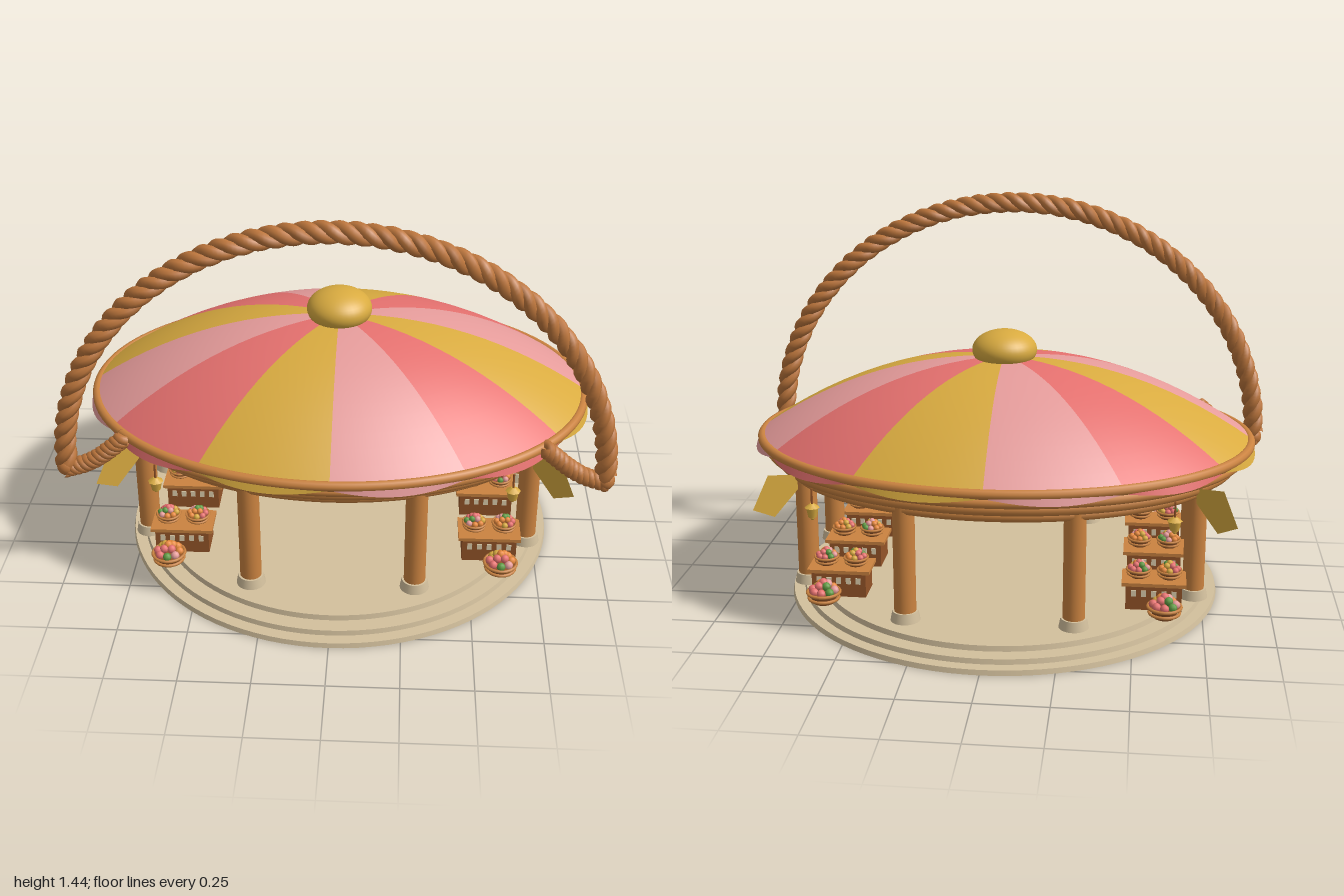
import * as THREE from 'three';
import { ParametricGeometry } from 'three/addons/geometries/ParametricGeometry.js';

const mat = (name, color, side = THREE.FrontSide) => {
  const m = new THREE.MeshStandardMaterial({ color, side });
  m.name = name;
  return m;
};

export function createModel() {
  const M = {
    gold: mat('gold', 0xd9ab40, THREE.DoubleSide),
    red: mat('coral red', 0xe6716f, THREE.DoubleSide),
    pink: mat('pale pink', 0xe69c9b, THREE.DoubleSide),
    wood: mat('honey wood', 0xcb8340),
    rope: mat('rope brown', 0xbd763c),
    stone: mat('stone', 0xd3c09d),
    brown: mat('dark wood', 0x955529),
    orange: mat('orange fruit', 0xe98a3c),
    green: mat('green fruit', 0x5f9a42),
    cream: mat('cream', 0xe3d3b0),
  };
  const model = new THREE.Group();
  const add = (name, geo, material, x = 0, y = 0, z = 0, parent = model) => {
    const mesh = new THREE.Mesh(geo, material);
    mesh.name = name;
    mesh.position.set(x, y, z);
    parent.add(mesh);
    return mesh;
  };
  const V = (x, y, z) => new THREE.Vector3(x, y, z);
  const cyl = (rt, rb, h, n = 24) => new THREE.CylinderGeometry(rt, rb, h, n);

  // Round stepped floor
  [[0.81, 0, 0.018], [0.765, 0.018, 0.036], [0.705, 0.036, 0.055]].forEach(([r, y0, y1]) =>
    add('floorStep', cyl(r - 0.004, r, y1 - y0, 96), M.stone, 0, (y0 + y1) / 2, 0));

  // Columns with stone footings, on an ellipse
  for (let i = 0; i < 8; i++) {
    const t = (i + 0.5) * Math.PI / 4;
    const x = 0.775 * Math.cos(t), z = 0.565 * Math.sin(t);
    add('column', cyl(0.039, 0.039, 0.43), M.wood, x, 0.275, z);
    add('footing', cyl(0.046, 0.053, 0.036), M.stone, x, 0.073, z);
  }

  // Stacked oval beams and the roof rim
  const ring = (name, a, b, y, r) => {
    const pts = [];
    for (let i = 0; i < 48; i++) {
      const t = i / 48 * Math.PI * 2;
      pts.push(V(a * Math.cos(t), y, b * Math.sin(t)));
    }
    add(name, new THREE.TubeGeometry(new THREE.CatmullRomCurve3(pts, true), 120, r, 10, true), M.wood);
  };
  ring('roofRim', 0.912, 0.688, 0.592, 0.018);
  ring('upperBeam', 0.885, 0.655, 0.55, 0.019);
  ring('middleBeam', 0.845, 0.615, 0.515, 0.024);
  ring('lowerBeam', 0.8, 0.58, 0.478, 0.022);

  // Domed canopy in twelve gores, each with a scalloped valance and a rafter
  const A = 0.915, B = 0.69;
  const roofY = (r) => 0.892 - 0.292 * Math.pow(r, 2.15);
  const cloth = [M.gold, M.red, M.pink];
  for (let i = 0; i < 12; i++) {
    const t0 = i * Math.PI / 6, step = Math.PI / 6;
    add('canopyGore', new ParametricGeometry((u, v, p) => {
      const r = 0.04 + 0.96 * v, t = t0 + u * step;
      p.set(A * r * Math.cos(t), roofY(r), B * r * Math.sin(t));
    }, 10, 14), cloth[i % 3]);
    add('valance', new ParametricGeometry((u, v, p) => {
      const t = t0 + u * step, lobe = Math.sin(u * Math.PI);
      const out = 0.008 + 0.014 * lobe * v;
      p.set((A + out) * Math.cos(t), 0.595 - v * (0.015 + 0.022 * lobe), (B + out) * Math.sin(t));
    }, 12, 3), cloth[i % 3]);
    const rafter = [0.06, 0.3, 0.55, 0.8, 0.98].map((r) =>
      V(A * r * Math.cos(t0), roofY(r) - 0.014, B * r * Math.sin(t0)));
    add('rafter', new THREE.TubeGeometry(new THREE.CatmullRomCurve3(rafter), 16, 0.008, 6), M.wood);
  }

  // Finial
  add('finial', new THREE.SphereGeometry(0.12, 36, 24), M.gold, 0, 0.915, 0).scale.y = 0.62;

  // Twisted rope: three strands wound round a path
  const twist = (name, path, turns, wind, r, segs) => {
    for (let k = 0; k < 3; k++) {
      const strand = new THREE.Curve();
      strand.getPoint = (s, target = new THREE.Vector3()) => {
        const p = path.getPointAt(s), d = path.getTangentAt(s);
        const a = s * turns * Math.PI * 2 + k * Math.PI * 2 / 3;
        return target.set(p.x - d.y * wind * Math.cos(a), p.y + d.x * wind * Math.cos(a),
          p.z + wind * Math.sin(a));
      };
      add(name, new THREE.TubeGeometry(strand, segs, r, 8), M.rope);
    }
  };
  const HZ = 0.427, arch = [];
  for (let i = 0; i <= 24; i++) {
    const t = Math.PI * i / 24;
    arch.push(V(-0.957 * Math.cos(t), 0.49 + 0.91 * Math.sin(t), HZ));
  }
  twist('handleRope', new THREE.CatmullRomCurve3(arch), 17, 0.019, 0.0215, 320);
  for (const s of [-1, 1]) {
    const tie = new THREE.CatmullRomCurve3([V(s * 0.965, 0.46, HZ), V(s * 0.86, 0.5, HZ), V(s * 0.735, 0.6, HZ)]);
    twist('handleTie', tie, 4, 0.017, 0.017, 90);
    add('handleKnot', new THREE.SphereGeometry(0.036, 16, 12), M.rope, s * 0.955, 0.475, HZ);
  }

  // Hanging pennants at the four diagonals
  const pennant = new THREE.Shape([[-0.06, 0.52], [0.03, 0.535], [0.08, 0.415], [0.015, 0.375], [-0.06, 0.465]]
    .map(([x, y]) => new THREE.Vector2(x, y)));
  const lantern = (x, y, z) => {
    const g = new THREE.Group();
    g.name = 'lantern';
    g.position.set(x, y, z);
    model.add(g);
    add('lanternBody', cyl(0.023, 0.016, 0.036, 8), M.gold, 0, 0, 0, g);
    add('lanternCap', cyl(0.008, 0.027, 0.014, 8), M.gold, 0, 0.024, 0, g);
    add('lanternTip', new THREE.SphereGeometry(0.009, 8, 6), M.gold, 0, -0.021, 0, g);
    add('lanternCord', cyl(0.004, 0.004, 0.06, 6), M.brown, 0, 0.056, 0, g);
  };

  // Basket with a mound of fruit
  const fruitColors = [M.orange, M.red, M.green, M.orange, M.gold, M.red, M.pink];
  const basket = (x, y, z, r, seed) => {
    const g = new THREE.Group();
    g.name = 'fruitBasket';
    g.position.set(x, y, z);
    model.add(g);
    const h = r * 0.62;
    add('basketBowl', cyl(r * 0.85, r * 0.6, h, 16), M.brown, 0, h / 2, 0, g);
    [0.45, 1].forEach((f) => {
      const hoop = add('basketHoop', new THREE.TorusGeometry(r * (0.78 + 0.14 * f), r * 0.09, 6, 20), M.wood, 0, h * f, 0, g);
      hoop.rotation.x = Math.PI / 2;
    });
    [[8, 0.62, 0.12], [4, 0.3, 0.4], [1, 0, 0.55]].forEach(([n, d, up], row) => {
      for (let i = 0; i < n; i++) {
        const a = (i + row * 0.5) / n * Math.PI * 2;
        add('fruit', new THREE.SphereGeometry(r * 0.25, 8, 6), fruitColors[(i * 3 + row * 2 + seed) % 7],
          r * d * Math.cos(a), h + r * up, r * d * Math.sin(a), g);
      }
    });
  };

  // Market counters and everything mirrored left and right
  for (const s of [-1, 1]) {
    for (const f of [-1, 1]) {
      const leaf = add('pennant', new THREE.ShapeGeometry(pennant), M.gold, s * 0.77, 0, f * 0.395);
      // Shear the flat plate so that it lies along the diagonal
      const p = leaf.geometry.attributes.position;
      for (let i = 0; i < p.count; i++) {
        const u = p.getX(i);
        p.setXYZ(i, s * u, p.getY(i), f * 0.7 * u);
      }
      leaf.geometry.computeVertexNormals();
      lantern(s * 0.635, 0.418, f * 0.452);
      lantern(s * 0.7, 0.428, f * 0.185);
      basket(s * 0.61, 0.066, f * 0.432, 0.064, f + 2);
    }
    [-0.3, 0, 0.3].forEach((z, i) => {
      const w = 0.2, d = z ? 0.115 : 0.135, x = s * 0.572;
      add('counter', new THREE.BoxGeometry(w, 0.092, d), M.brown, x, 0.1, z);
      add('counterTop', new THREE.BoxGeometry(w + 0.03, 0.013, d + 0.018), M.wood, x, 0.153, z);
      for (const f of [-1, 1]) for (let k = -2; k <= 2; k++) {
        add('counterPanel', new THREE.BoxGeometry(0.018, 0.024, 0.004), M.cream, x + k * 0.036, 0.118, z + f * (d / 2 + 0.001));
      }
      [-0.055, 0.055].forEach((dx, k) => basket(x + dx, 0.16, z, 0.047, i * 2 + k));
    });
  }
  return model;
}
